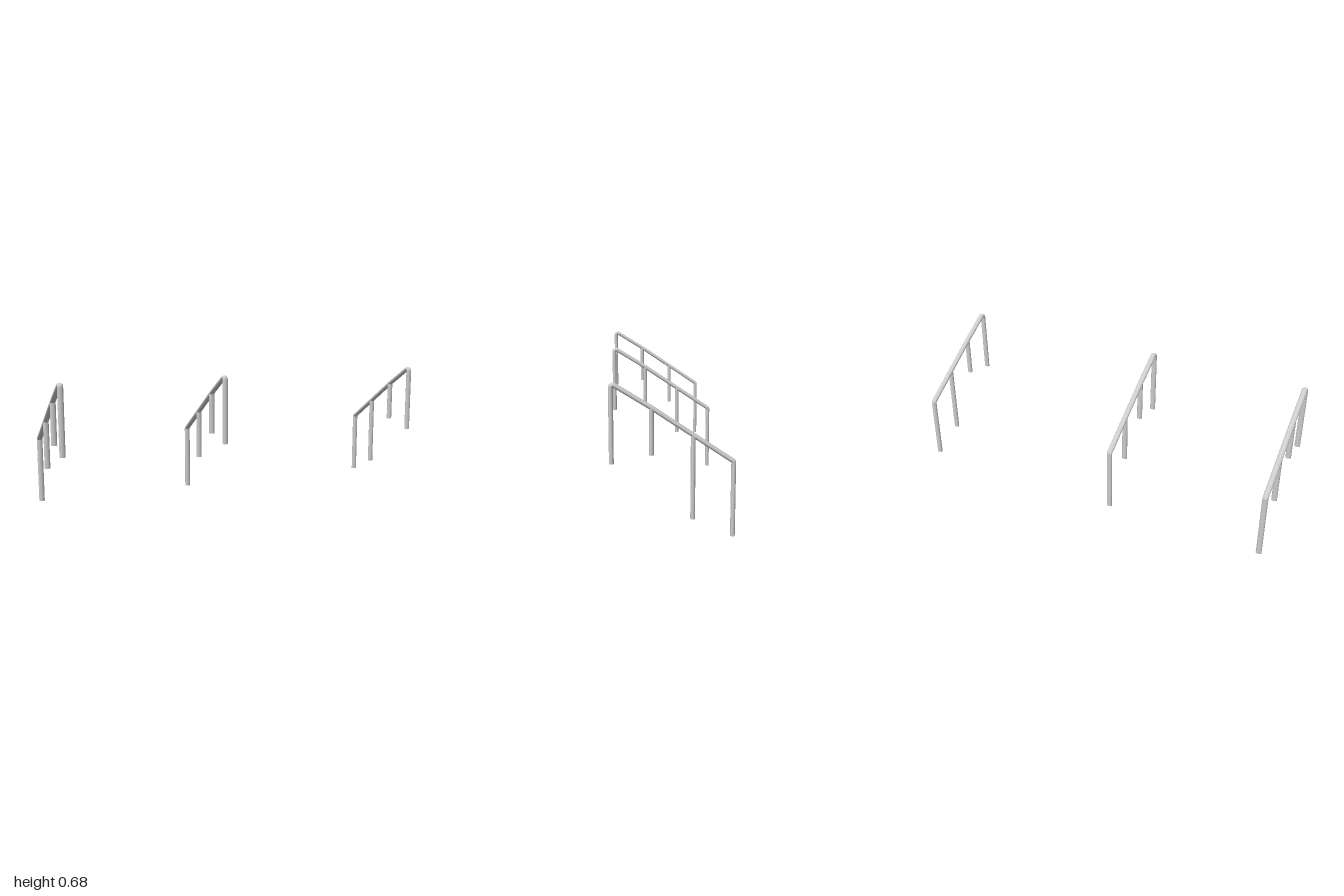
import * as THREE from 'three';

const RX = 0.0145;     // tube half-width across the rail
const R = 0.0104;      // tube half-depth in the plane of the rail
const SIDES = 24;
const material = new THREE.MeshStandardMaterial({ color: 0xcccccc });

// Centreline corners of the bent rail as (z, y), from the high front foot to the low back foot
const CORNERS = [[0.262, 0.331], [0.262, 0.68], [0.091, 0.574], [-0.087, 0.454], [-0.262, 0.336], [-0.262, 0]]
  .map(([z, y]) => new THREE.Vector2(z, y));

// Path points with tangents, each corner rounded by an arc of the given radius
function bentPath(corners, radius, steps) {
  const rings = [];
  corners.forEach((p, i) => {
    const before = i > 0 ? p.clone().sub(corners[i - 1]).normalize() : null;
    const after = i < corners.length - 1 ? corners[i + 1].clone().sub(p).normalize() : null;
    if (!before || !after) {
      rings.push({ p, t: before || after });
      return;
    }
    const turn = Math.atan2(before.cross(after), before.dot(after));
    const side = Math.sign(turn);
    const start = p.clone().addScaledVector(before, -radius * Math.tan(Math.abs(turn) / 2));
    const centre = start.clone().add(new THREE.Vector2(-before.y, before.x).multiplyScalar(side * radius));
    for (let k = 0; k <= steps; k++) {
      const a = turn * k / steps;
      rings.push({
        p: start.clone().rotateAround(centre, a),
        t: before.clone().rotateAround(new THREE.Vector2(), a),
      });
    }
  });
  return rings;
}

// Oval tube swept along the path in the z-y plane
function sweptTube(rings) {
  const pos = [], nor = [], idx = [];
  for (const { p, t } of rings) {
    for (let j = 0; j <= SIDES; j++) {
      const a = j / SIDES * Math.PI * 2, c = Math.cos(a), s = Math.sin(a);
      pos.push(c * RX, p.y + s * t.x * R, p.x - s * t.y * R);
      nor.push(...new THREE.Vector3(c / RX, s * t.x / R, -s * t.y / R).normalize().toArray());
    }
  }
  const row = SIDES + 1;
  for (let i = 0; i < rings.length - 1; i++) {
    for (let j = 0; j < SIDES; j++) {
      const a = i * row + j, b = a + row;
      idx.push(a, a + 1, b, b, a + 1, b + 1);
    }
  }
  const g = new THREE.BufferGeometry();
  g.setAttribute('position', new THREE.Float32BufferAttribute(pos, 3));
  g.setAttribute('normal', new THREE.Float32BufferAttribute(nor, 3));
  // Make the faces wind the same way as the outward normals
  const v = (k) => new THREE.Vector3().fromArray(pos, idx[k] * 3);
  const face = v(1).sub(v(0)).cross(v(2).sub(v(0)));
  if (face.dot(new THREE.Vector3().fromArray(nor, idx[0] * 3)) < 0) idx.reverse();
  g.setIndex(idx);
  return g;
}

function add(parent, geometry, name) {
  const mesh = new THREE.Mesh(geometry, material);
  mesh.name = name;
  parent.add(mesh);
  return mesh;
}

// Upright oval post between two heights
function post(parent, z, bottom, top, name) {
  const g = new THREE.CylinderGeometry(R, R, top - bottom, SIDES).scale(RX / R, 1, 1);
  add(parent, g, name).position.set(0, (top + bottom) / 2, z);
}

// Flat oval disc closing a foot of the bent tube
function footCap(parent, corner, name) {
  const g = new THREE.CircleGeometry(R, SIDES).scale(RX / R, 1, 1).rotateX(Math.PI / 2);
  add(parent, g, name).position.set(0, corner.y, corner.x);
}

export function createModel() {
  const model = new THREE.Group();
  model.name = 'stairHandrails';
  const railGeometry = sweptTube(bentPath(CORNERS, R * 1.03, 10));

  // Three parallel handrails; the inner posts end at different heights
  const rails = [
    { name: 'rightHandrail', x: RX - 1, upper: 0.359, lower: 0.21 },
    { name: 'middleHandrail', x: -0.15, upper: 0.359, lower: 0.2 },
    { name: 'leftHandrail', x: 1 - RX, upper: 0.368, lower: 0.08 },
  ];
  for (const { name, x, upper, lower } of rails) {
    const rail = new THREE.Group();
    rail.name = name;
    rail.position.x = x;
    add(rail, railGeometry, 'bentRail');
    footCap(rail, CORNERS[0], 'frontFootCap');
    footCap(rail, CORNERS[5], 'backFootCap');
    post(rail, CORNERS[2].x, upper, CORNERS[2].y, 'upperInnerPost');
    post(rail, CORNERS[3].x, lower, CORNERS[3].y, 'lowerInnerPost');
    model.add(rail);
  }
  return model;
}
